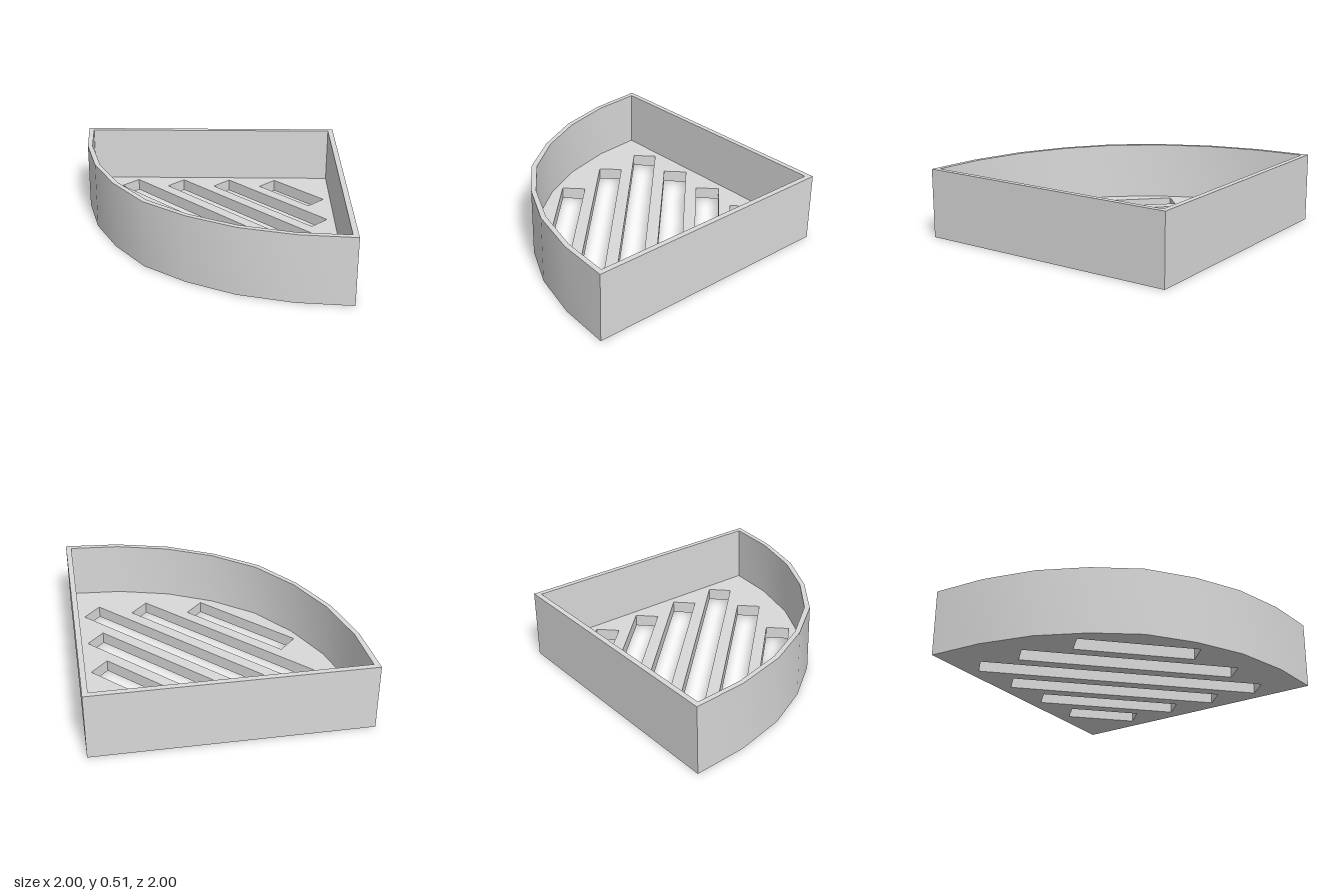
import * as THREE from 'three';
import { toCreasedNormals } from 'three/addons/utils/BufferGeometryUtils.js';

const HEIGHT = 0.51, FLOOR = 0.09;

// Points are (x, z); the second half of each curve mirrors the first across the diagonal.
function outline(corner, half) {
  const mirrored = half.slice(0, -1).reverse().map(([x, z]) => [-z, -x]);
  return [[corner, -corner], ...half, ...mirrored].map(([x, z]) => new THREE.Vector2(x, z));
}

// Extrudes a plan shape upwards between two heights, keeping the curved side smooth.
function slab(shape, bottom, top) {
  const g = new THREE.ExtrudeGeometry(shape, { depth: top - bottom, bevelEnabled: false });
  g.rotateX(Math.PI / 2).translate(0, top, 0);
  return toCreasedNormals(g, 0.5);
}

// Diagonal slot starting at (x, z) and running the given distance along both axes.
function slot(x, z, run) {
  const w = 0.125;
  return new THREE.Path([
    [x, z], [x + run, z + run], [x + run - w, z + run + w], [x - w, z + w],
  ].map(([a, b]) => new THREE.Vector2(a, b)));
}

export function createModel() {
  const group = new THREE.Group();
  group.name = 'cornerBasket';
  const grey = new THREE.MeshStandardMaterial({ color: 0xd9d9d9 });
  grey.name = 'light grey';

  const outer = outline(1, [[-1, -1], [-0.964, -0.597], [-0.862, -0.203], [-0.688, 0.145], [-0.456, 0.456]]);
  const inner = outline(0.96, [[-0.957, -0.96], [-0.927, -0.595], [-0.825, -0.212], [-0.659, 0.126], [-0.428, 0.428]]);

  // Rim wall around the quarter-round plan; the hole runs opposite to the outline
  const wallShape = new THREE.Shape(outer);
  wallShape.holes.push(new THREE.Path([...inner].reverse()));
  const wall = new THREE.Mesh(slab(wallShape, 0, HEIGHT), grey);
  wall.name = 'wall';

  // Floor with diagonal drain slots
  const floorShape = new THREE.Shape(inner);
  [
    [0.53, -0.91, 0.375], [0.155, -0.91, 0.75], [-0.22, -0.91, 1.125],
    [-0.595, -0.91, 1.5], [-0.595, -0.535, 1.125], [-0.53, -0.1, 0.625],
  ].forEach(([x, z, run]) => floorShape.holes.push(slot(x, z, run)));
  const floor = new THREE.Mesh(slab(floorShape, 0, FLOOR), grey);
  floor.name = 'slottedFloor';

  group.add(wall, floor);
  return group;
}
